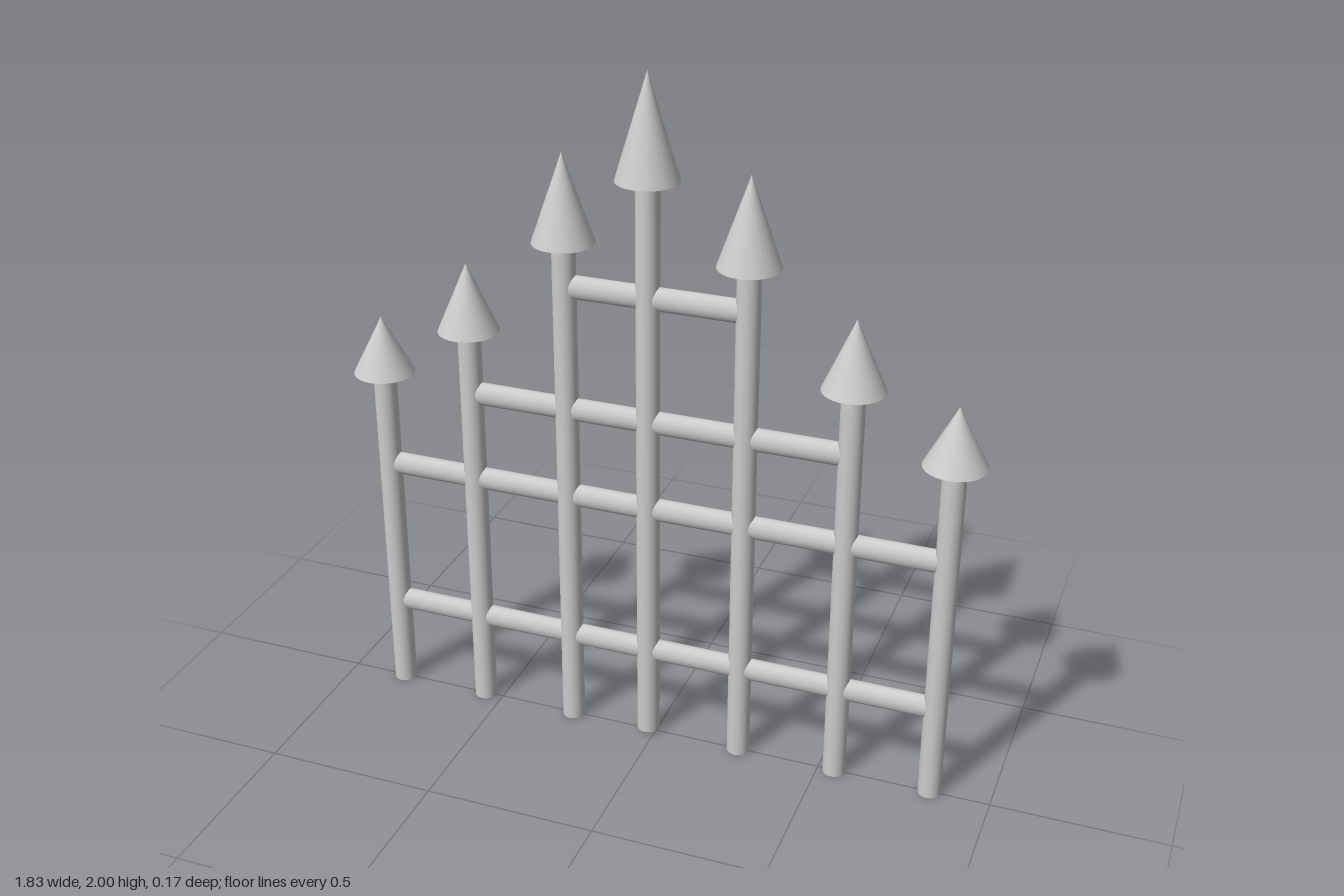
import * as THREE from 'three';

export function createModel() {
  const gate = new THREE.Group();
  gate.name = 'gate';
  const material = new THREE.MeshStandardMaterial({ color: 0xcccccc });

  function add(geometry, name, x, y) {
    const mesh = new THREE.Mesh(geometry, material);
    mesh.name = name;
    mesh.position.set(x, y, 0);
    gate.add(mesh);
    return mesh;
  }

  // Upright posts with pointed caps: x, foot, cap base, cap tip
  const posts = [
    [-0.83, 0, 1.04, 1.21],
    [-0.555, 0, 1.21, 1.41],
    [-0.263, 0, 1.51, 1.76],
    [-0.023, 0.01, 1.71, 2.0],
    [0.257, 0, 1.51, 1.76],
    [0.548, 0, 1.21, 1.41],
    [0.827, 0, 1.04, 1.21],
  ];
  for (const [x, foot, base, tip] of posts) {
    add(new THREE.CylinderGeometry(0.033, 0.033, base - foot, 32), 'post', x, (foot + base) / 2);
    add(new THREE.ConeGeometry(0.087, tip - base, 32), 'spearCap', x, (base + tip) / 2);
  }

  // Horizontal rails, flattened front to back: height, first post, last post
  const rails = [
    [0.285, 0, 6],
    [0.75, 0, 6],
    [1.02, 1, 5],
    [1.385, 2, 4],
  ];
  for (const [y, first, last] of rails) {
    const x0 = posts[first][0], x1 = posts[last][0];
    const geometry = new THREE.CylinderGeometry(0.034, 0.034, x1 - x0, 32);
    geometry.rotateZ(Math.PI / 2).scale(1, 1, 0.025 / 0.034);
    add(geometry, 'rail', (x0 + x1) / 2, y);
  }

  return gate;
}
